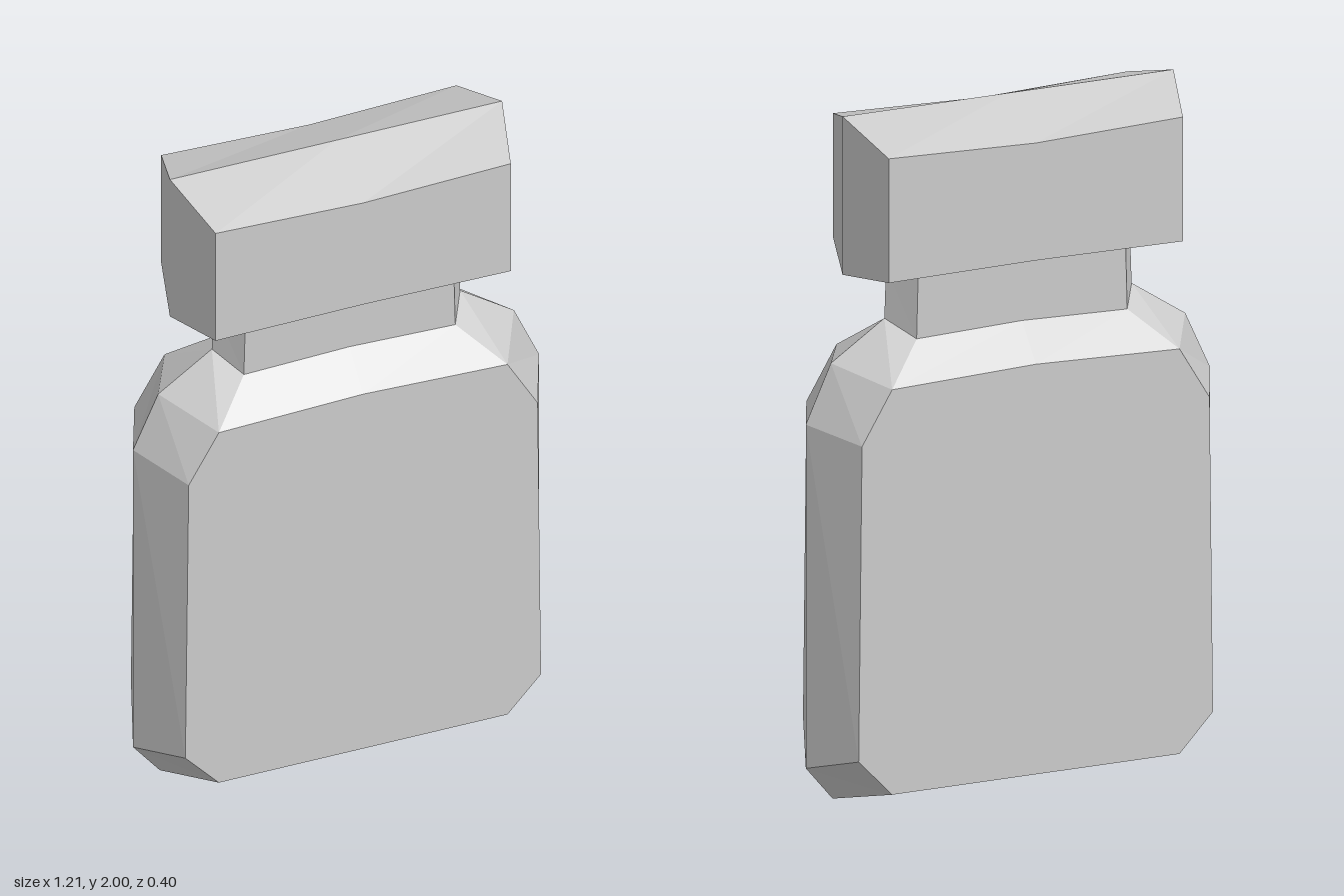
import * as THREE from 'three';
import { mergeGeometries } from 'three/addons/utils/BufferGeometryUtils.js';

// Close a right-hand half outline (top to bottom) with its mirror image
function mirrorOutline(half) {
  const left = half.filter(p => p[0] > 0).reverse().map(([x, y, z]) => [-x, y, z]);
  return [...half, ...left];
}

// Faceted solid: flat face, bevelled to a rim, repeated on the back by a half turn
function bevelledSolid(name, faceHalf, rimHalf, depth, material) {
  const face = mirrorOutline(faceHalf.map(([x, y]) => [x, y, depth]));
  const rim = mirrorOutline(rimHalf.map(([x, y, z = 0]) => [x, y, z]));
  const ys = face.map(p => p[1]);
  const centre = [0, (Math.min(...ys) + Math.max(...ys)) / 2, depth];
  const positions = [];
  const same = (a, b) => a.every((v, i) => v === b[i]);
  const tri = (a, b, c) => {
    if (!same(a, b) && !same(b, c) && !same(a, c)) positions.push(...a, ...b, ...c);
  };
  face.forEach((a, i) => {
    const j = (i + 1) % face.length;
    tri(centre, face[j], a);
    tri(a, face[j], rim[j]);
    tri(a, rim[j], rim[i]);
  });
  const front = new THREE.BufferGeometry();
  front.setAttribute('position', new THREE.Float32BufferAttribute(positions, 3));
  const geometry = mergeGeometries([front, front.clone().rotateY(Math.PI)]);
  geometry.computeVertexNormals();
  const mesh = new THREE.Mesh(geometry, material);
  mesh.name = name;
  return mesh;
}

export function createModel() {
  const model = new THREE.Group();
  model.name = 'bottle';
  const material = new THREE.MeshStandardMaterial({ color: 0xcccccc, flatShading: true });

  // Body: the shoulder facets meet at one face corner and rise to the neck
  const corner = [0.43, 1.255];
  model.add(bevelledSolid('body',
    [[0, 1.27], corner, corner, corner, [0.52, 1.1], [0.53, 0.175], [0.43, 0.065]],
    [[0, 1.365, 0.1], [0.315, 1.355, 0.1], [0.37, 1.39], [0.53, 1.28],
      [0.605, 1.11], [0.605, 0.1], [0.525, 0]],
    0.2, material));

  // Neck
  model.add(bevelledSolid('neck',
    [[0, 1.56], [0.31, 1.56], [0.315, 1.355], [0, 1.365]],
    [[0, 1.54], [0.365, 1.54], [0.37, 1.39], [0, 1.39]],
    0.1, material));

  // Cap: straight ridge, front and back edges dipping at the middle
  model.add(bevelledSolid('cap',
    [[0, 1.92], [0.44, 1.935], [0.44, 1.57], [0, 1.575]],
    [[0, 2], [0.495, 2], [0.495, 1.535], [0, 1.535]],
    0.2, material));

  return model;
}
